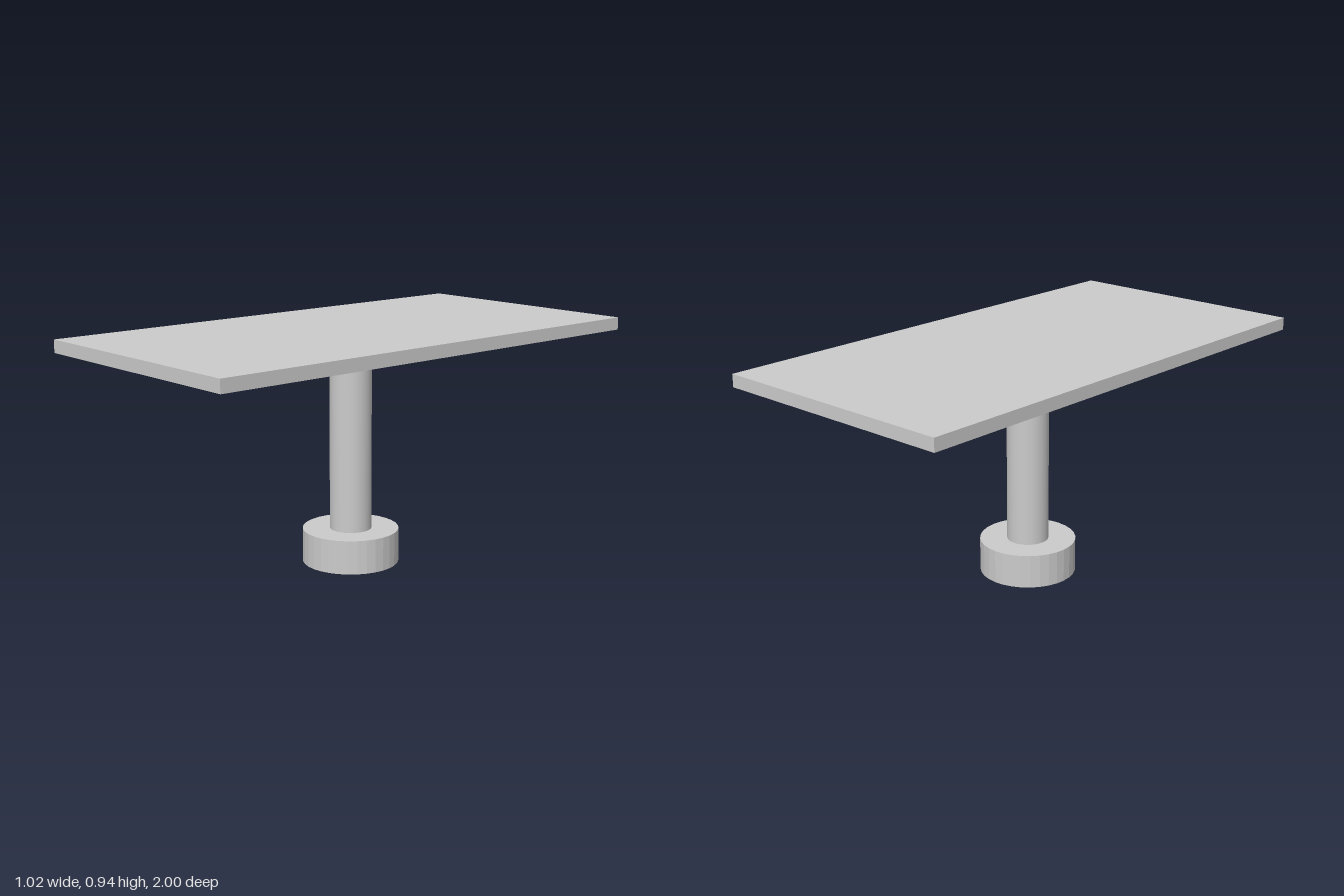
import * as THREE from 'three';

const TOP_Y = 0.938, TOP_UNDERSIDE = 0.888, BASE_HEIGHT = 0.135;

export function createModel() {
  const group = new THREE.Group();
  const smooth = new THREE.MeshStandardMaterial({ color: 0xcccccc });
  const faceted = new THREE.MeshStandardMaterial({ color: 0xcccccc, flatShading: true });

  // Adds a part spanning the heights y0 to y1
  function addPart(name, geometry, material, y0, y1) {
    const mesh = new THREE.Mesh(geometry, material);
    mesh.name = name;
    mesh.position.y = (y0 + y1) / 2;
    group.add(mesh);
  }

  // Heavy round foot
  addPart('base', new THREE.CylinderGeometry(0.192, 0.192, BASE_HEIGHT, 32), faceted, 0, BASE_HEIGHT);

  // Central pedestal
  addPart('column', new THREE.CylinderGeometry(0.083, 0.083, TOP_UNDERSIDE - BASE_HEIGHT, 32),
    smooth, BASE_HEIGHT, TOP_UNDERSIDE);

  // Long rectangular slab
  addPart('tableTop', new THREE.BoxGeometry(1.024, TOP_Y - TOP_UNDERSIDE, 2), faceted, TOP_UNDERSIDE, TOP_Y);

  return group;
}
